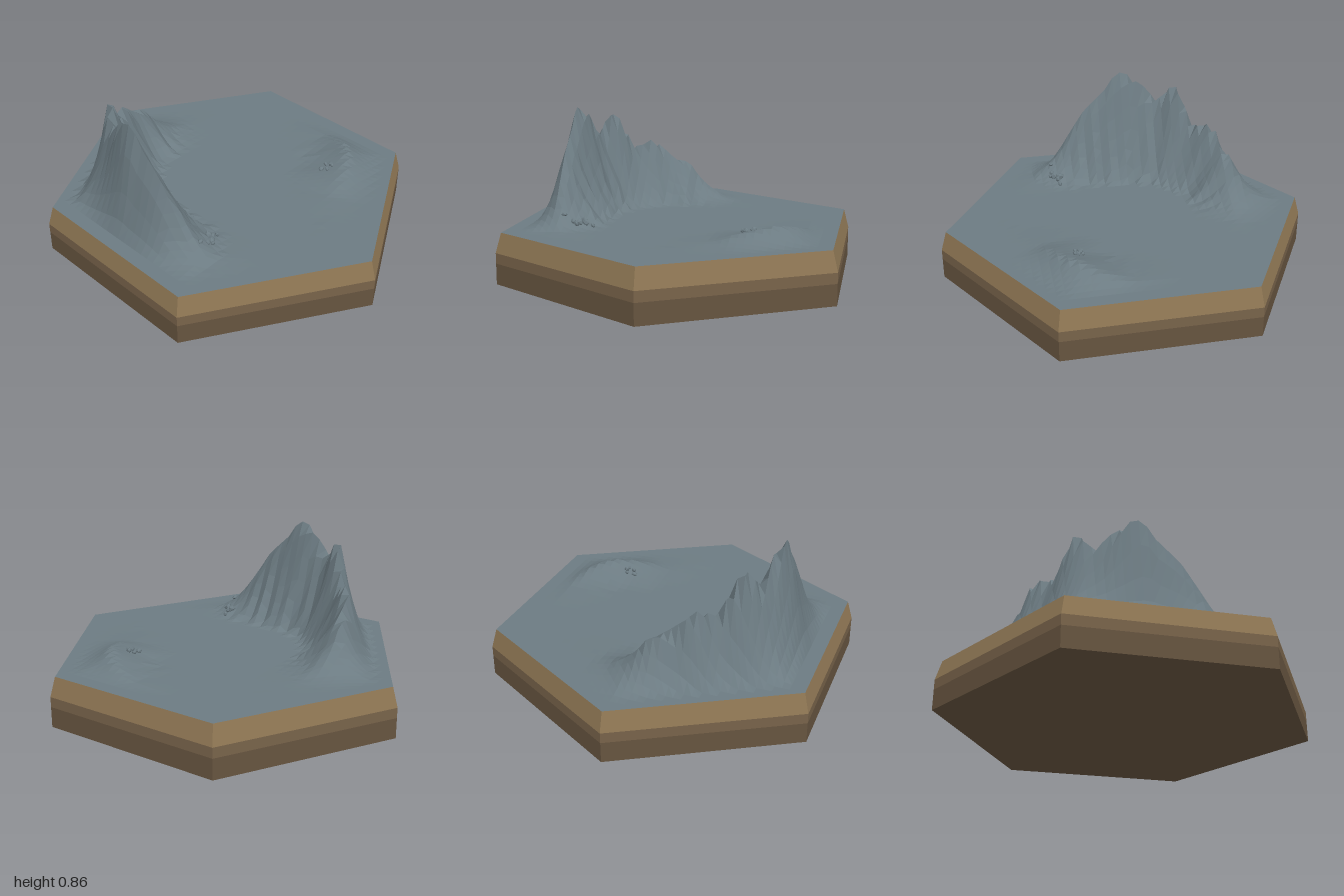
import * as THREE from 'three';

const GROUND = 0.27, TOP_R = 0.97, TOP_W = TOP_R * Math.cos(Math.PI / 6);

const mat = (name, color) => {
  const m = new THREE.MeshStandardMaterial({ color, flatShading: true });
  m.name = name;
  return m;
};

const crest = (pts) =>
  new THREE.CatmullRomCurve3(pts.map((p) => new THREE.Vector3(...p))).getPoints(160);

// Crest lines as x, height above the ground, z
const ridge = crest([
  [-0.54, 0.01, 0.42], [-0.58, 0.11, 0.3], [-0.6, 0.26, 0.2], [-0.61, 0.4, 0.1],
  [-0.61, 0.49, 0.0], [-0.61, 0.59, -0.08], [-0.58, 0.53, -0.2], [-0.55, 0.44, -0.29],
  [-0.49, 0.53, -0.38], [-0.38, 0.33, -0.47], [-0.3, 0.36, -0.54], [-0.2, 0.27, -0.58],
  [-0.1, 0.22, -0.61], [0.0, 0.11, -0.61], [0.1, 0.035, -0.59], [0.2, 0.005, -0.56],
]);
const mound = crest([
  [0.26, 0.01, 0.5], [0.36, 0.04, 0.46], [0.46, 0.06, 0.42], [0.55, 0.073, 0.36],
  [0.63, 0.055, 0.27], [0.68, 0.01, 0.1],
]);

// Distance inside the hexagon that is inset from the rim
function marginAt(x, z, inset) {
  const ax = Math.abs(x), az = Math.abs(z);
  return Math.max(0, TOP_W - inset - Math.max(ax, ax * 0.5 + az * 0.866));
}

// Steep outer flank towards the rim, curved inner flank towards the centre
function crestHeight(line, x, z, inset, innerWidth, power) {
  let best = line[0], d2 = Infinity;
  for (const c of line) {
    const d = (x - c.x) ** 2 + (z - c.z) ** 2;
    if (d < d2) { d2 = d; best = c; }
  }
  const r = Math.max(0, Math.sqrt(d2) - 0.015);
  const inner = (x - best.x) * best.x + (z - best.z) * best.z < 0;
  if (inner) {
    const gully = 1 + 0.12 * Math.sin(best.x * 47 + best.z * 61);
    return best.y * Math.max(0, 1 - r / (innerWidth * gully)) ** power;
  }
  const e = marginAt(x, z, inset);
  const s = e / (e + r + 1e-6);
  return best.y * s ** 1.25 * Math.max(0, 1 - r / 0.4);
}

const heightAt = (x, z) =>
  GROUND + Math.max(
    crestHeight(ridge, x, z, 0.08, 0.22, 1.5),
    crestHeight(mound, x, z, 0.08, 0.24, 1.3));

// Height grid whose rows are clamped to the hexagon
function terrainGeometry() {
  const n = 44, grid = [], pos = [];
  for (let j = 0; j <= n; j++) {
    const z = TOP_R * (2 * j / n - 1);
    const w = TOP_W * Math.min(1, 2 * (1 - Math.abs(z) / TOP_R));
    grid.push([]);
    for (let i = 0; i <= n; i++) {
      const x = THREE.MathUtils.clamp(TOP_W * (2 * i / n - 1), -w, w);
      grid[j].push(new THREE.Vector3(x, heightAt(x, z), z));
    }
  }
  const tri = (a, b, c) => {
    const area = (b.z - a.z) * (c.x - a.x) - (b.x - a.x) * (c.z - a.z);
    if (area > 1e-7) for (const v of [a, b, c]) pos.push(v.x, v.y, v.z);
  };
  for (let j = 0; j < n; j++) {
    for (let i = 0; i < n; i++) {
      const a = grid[j][i], b = grid[j + 1][i], c = grid[j + 1][i + 1], d = grid[j][i + 1];
      tri(a, b, c);
      tri(a, c, d);
    }
  }
  const g = new THREE.BufferGeometry();
  g.setAttribute('position', new THREE.Float32BufferAttribute(pos, 3));
  g.computeVertexNormals();
  return g;
}

export function createModel() {
  const model = new THREE.Group();
  model.name = 'mountainTile';
  const stone = mat('stone grey', 0x6c7b82);
  const lightEarth = mat('light earth', 0x8f7754);
  const midEarth = mat('middle earth', 0x78634a);
  const darkEarth = mat('dark earth', 0x66543f);

  const add = (name, geometry, material, parent = model) => {
    const mesh = new THREE.Mesh(geometry, material);
    mesh.name = name;
    parent.add(mesh);
    return mesh;
  };

  // Hexagonal base in three bands
  const band = (name, rTop, y0, y1, material) => {
    const g = new THREE.CylinderGeometry(rTop, 1, y1 - y0, 6, 1, true).toNonIndexed();
    g.computeVertexNormals();
    add(name, g, material).position.y = (y0 + y1) / 2;
  };
  band('lowerBand', 1, 0, 0.11, darkEarth);
  band('middleBand', 1, 0.11, 0.165, midEarth);
  band('bevelBand', TOP_R, 0.165, GROUND, lightEarth);
  const bottom = add('underside', new THREE.CircleGeometry(1, 6, Math.PI / 2), darkEarth);
  bottom.rotation.x = Math.PI / 2;

  // Ground with the curved ridge and the low mound
  add('terrain', terrainGeometry(), stone);

  // Two clusters of small rocks: x, z, size
  const clusters = {
    ridgeRocks: [[-0.55, 0.335, 0.014], [-0.5, 0.34, 0.014], [-0.47, 0.33, 0.02],
      [-0.455, 0.295, 0.022], [-0.44, 0.31, 0.015], [-0.405, 0.305, 0.013], [-0.48, 0.35, 0.012]],
    moundRocks: [[0.385, 0.315, 0.016], [0.4, 0.345, 0.014], [0.44, 0.335, 0.015],
      [0.43, 0.31, 0.012], [0.435, 0.35, 0.012]],
  };
  for (const [name, rocks] of Object.entries(clusters)) {
    const group = new THREE.Group();
    group.name = name;
    model.add(group);
    rocks.forEach(([x, z, s], i) => {
      const rock = add('rock', new THREE.IcosahedronGeometry(s, 0), stone, group);
      rock.position.set(x, heightAt(x, z) + s * 0.5, z);
      rock.scale.set(1.15, 0.8, 1);
      rock.rotation.set(i * 0.7, i * 1.9, i * 0.4);
    });
  }
  return model;
}
